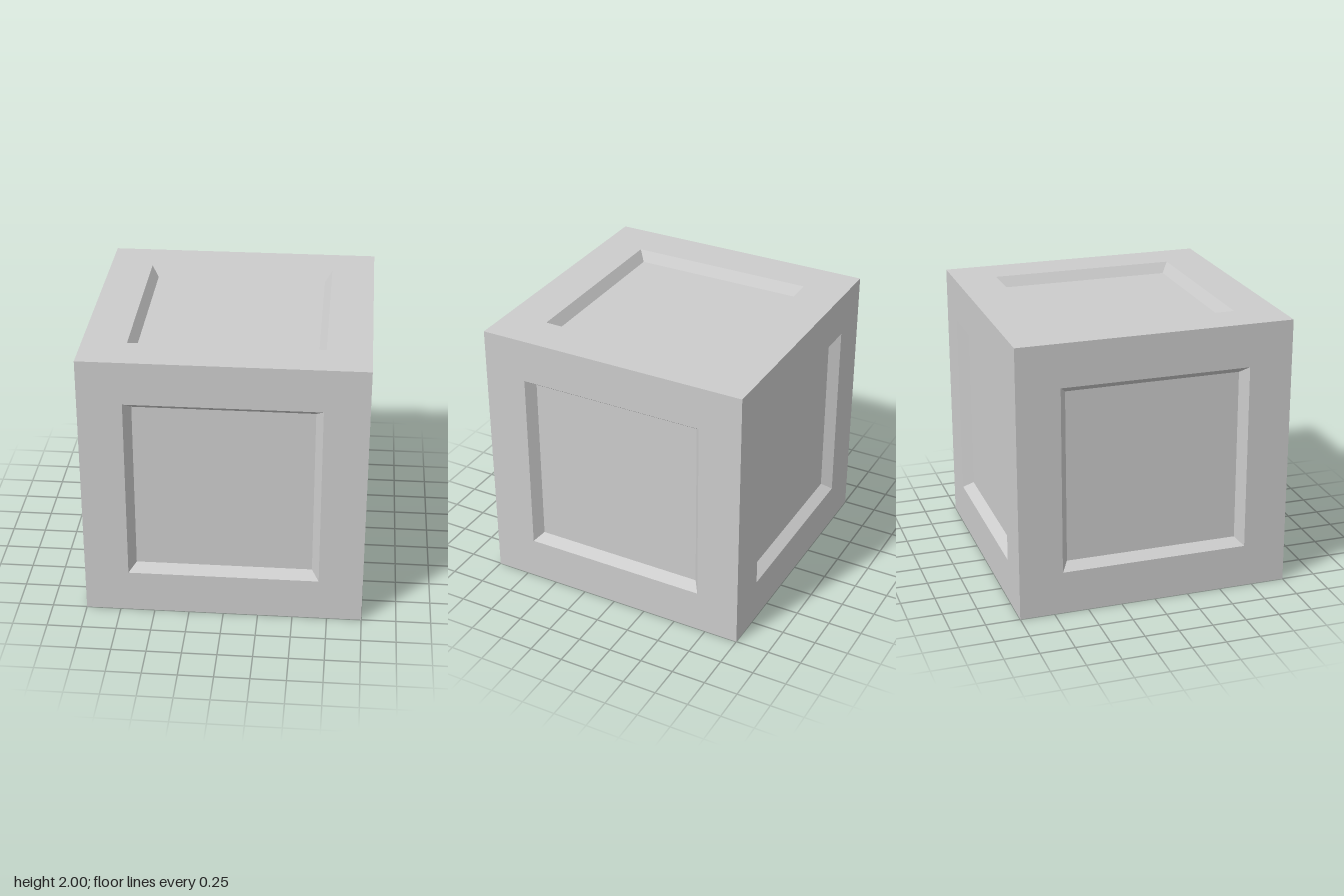
import * as THREE from 'three';

const HALF = 1, OUTER = 0.685, INNER = 0.633, DEPTH = 0.073;

// Square loop of four corners, counter-clockwise seen from +z
const loop = (h, z) => [[-h, -h, z], [h, -h, z], [h, h, z], [-h, h, z]];

// Flat-shaded geometry from a list of four-cornered faces
function quads(list) {
  const points = list.flatMap(([a, b, c, d]) => [a, b, c, a, c, d]).flat();
  const geometry = new THREE.BufferGeometry();
  geometry.setAttribute('position', new THREE.Float32BufferAttribute(points, 3));
  geometry.computeVertexNormals();
  return geometry;
}

// Four faces joining an outer square loop to an inner one
const band = (a, b) => a.map((p, i) => {
  const j = (i + 1) % 4;
  return [p, a[j], b[j], b[i]];
});

export function createModel() {
  const model = new THREE.Group();
  model.name = 'panelledCube';
  const material = new THREE.MeshStandardMaterial({ color: 0xcccccc, flatShading: true });

  // One side: flat border, sloping recess walls and sunken panel
  const edge = loop(HALF, HALF);
  const rim = loop(OUTER, HALF);
  const floor = loop(INNER, HALF - DEPTH);
  const parts = {
    border: quads(band(edge, rim)),
    recessWalls: quads(band(rim, floor)),
    sunkenPanel: quads([floor]),
  };

  // The same side turned to all six directions
  const q = Math.PI / 2;
  const sides = {
    front: [0, 0], left: [0, q], back: [0, 2 * q], right: [0, -q], top: [-q, 0], bottom: [q, 0],
  };
  for (const [sideName, [rx, ry]] of Object.entries(sides)) {
    const side = new THREE.Group();
    side.name = sideName + 'Side';
    for (const [partName, geometry] of Object.entries(parts)) {
      const mesh = new THREE.Mesh(geometry, material);
      mesh.name = partName;
      side.add(mesh);
    }
    side.rotation.set(rx, ry, 0);
    side.position.y = HALF;
    model.add(side);
  }
  return model;
}
